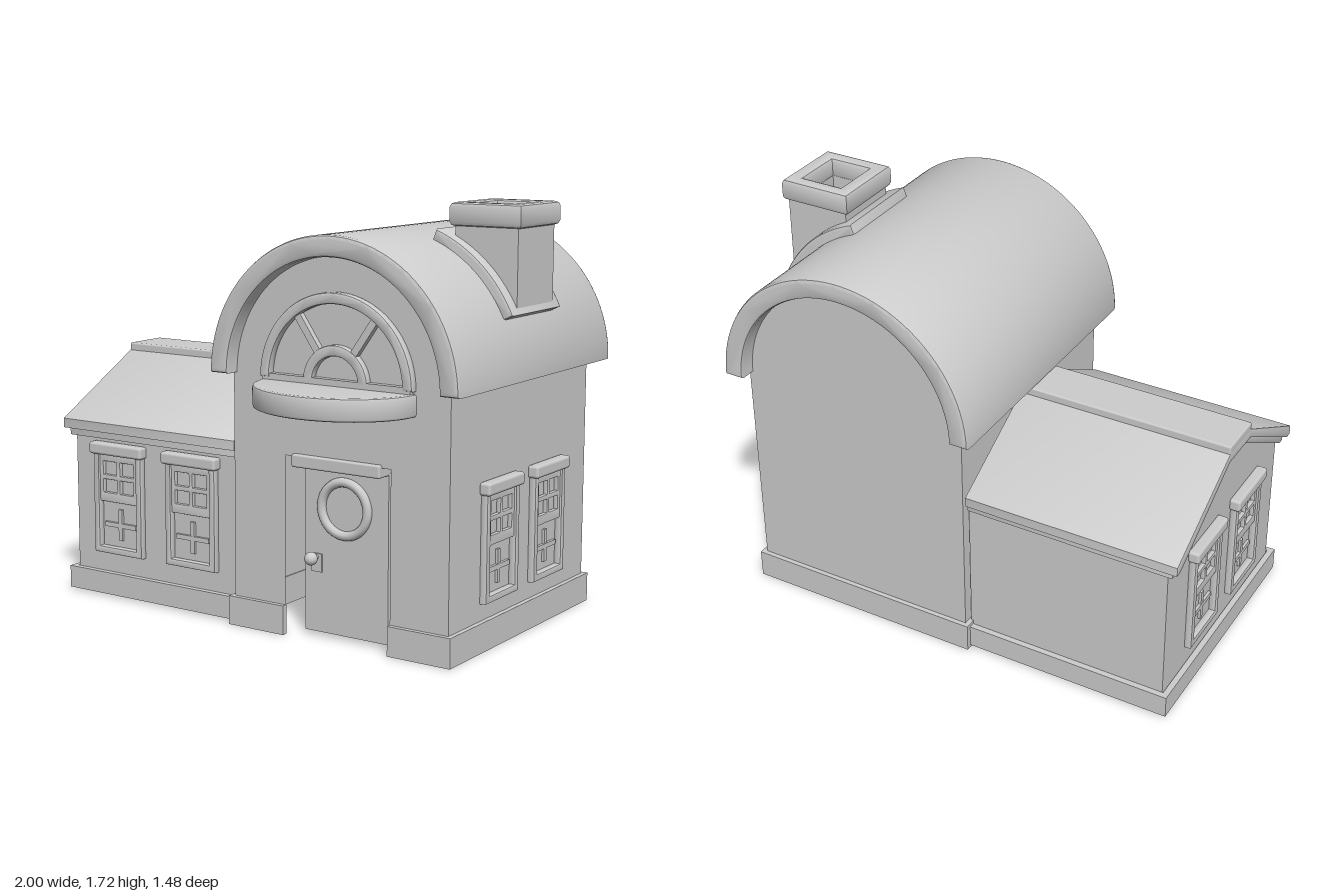
import * as THREE from 'three';
import { toCreasedNormals } from 'three/addons/utils/BufferGeometryUtils.js';
import { RoundedBoxGeometry } from 'three/addons/geometries/RoundedBoxGeometry.js';

const stone = new THREE.MeshStandardMaterial({ name: 'pale grey', color: 0xcccccc });
const stoneThin = new THREE.MeshStandardMaterial({ name: 'pale grey thin', color: 0xcccccc, side: THREE.DoubleSide });
const soot = new THREE.MeshStandardMaterial({ name: 'soot black', color: 0x0c0d0e });

const CX = 0.43, ARCH_Y = 1.04; // centre of the barrel roof

function add(parent, name, geo, mat = stone) {
  const m = new THREE.Mesh(geo, mat);
  m.name = name;
  parent.add(m);
  return m;
}

// Box given by its limits, optionally with rounded edges
function box(parent, name, [x0, x1], [y0, y1], [z0, z1], r = 0) {
  const s = [x1 - x0, y1 - y0, z1 - z0];
  const m = add(parent, name, r ? new RoundedBoxGeometry(...s, 2, r) : new THREE.BoxGeometry(...s));
  m.position.set((x0 + x1) / 2, (y0 + y1) / 2, (z0 + z1) / 2);
  return m;
}

function polygon(points) {
  return new THREE.Shape(points.map(([x, y]) => new THREE.Vector2(x, y)));
}

// Extrusion from z0 to z1 whose bevel stays inside the outline
function extrude(shape, z0, z1, b = 0, curveSegments = 32) {
  const g = new THREE.ExtrudeGeometry(shape, {
    depth: z1 - z0 - 2 * b, curveSegments, bevelEnabled: b > 0,
    bevelSize: b, bevelThickness: b, bevelOffset: -b, bevelSegments: 2,
  });
  g.translate(0, 0, z0 + b);
  return toCreasedNormals(g, 0.6);
}

function arcBand(r0, r1, a0 = 0, a1 = Math.PI) {
  const s = new THREE.Shape();
  s.absarc(0, 0, r1, a0, a1, false);
  s.absarc(0, 0, r0, a1, a0, true);
  s.closePath();
  return s;
}

function rectPath(x0, x1, y0, y1) {
  return polygon([[x0, y0], [x0, y1], [x1, y1], [x1, y0]]);
}

// Sash window facing +z, standing on the plane z = 0
function makeWindow() {
  const g = new THREE.Group();
  g.name = 'sashWindow';
  const frame = polygon([[-0.13, 0.19], [0.13, 0.19], [0.13, 0.64], [-0.13, 0.64]]);
  frame.holes.push(rectPath(-0.1, 0.1, 0.22, 0.62));
  add(g, 'windowFrame', extrude(frame, -0.005, 0.03, 0.008));
  box(g, 'windowHeader', [-0.142, 0.142], [0.62, 0.672], [-0.005, 0.045], 0.012);
  const sash = polygon([[-0.105, 0.415], [0.105, 0.415], [0.105, 0.625], [-0.105, 0.625]]);
  for (const [x0, x1] of [[-0.082, -0.01], [0.01, 0.082]])
    for (const [y0, y1] of [[0.455, 0.512], [0.532, 0.59]]) sash.holes.push(rectPath(x0, x1, y0, y1));
  add(g, 'upperSash', extrude(sash, 0, 0.02, 0.004));
  box(g, 'lowerGlazingBar', [-0.085, 0.085], [0.305, 0.325], [0, 0.012]);
  box(g, 'lowerGlazingPost', [-0.01, 0.01], [0.25, 0.385], [0, 0.011]);
  return g;
}

function placeWindow(parent, x, z, turn) {
  const w = makeWindow();
  w.position.set(x, 0, z);
  w.rotation.y = turn;
  parent.add(w);
}

function mainHouse() {
  const g = new THREE.Group();
  g.name = 'mainHouse';
  // Hollow thin walls with an arched gable and a doorway in the front
  for (const front of [true, false]) {
    const s = new THREE.Shape();
    s.moveTo(-0.07, 0);
    if (front) s.lineTo(0.18, 0).lineTo(0.18, 0.73).lineTo(0.67, 0.73).lineTo(0.67, 0);
    s.lineTo(0.93, 0).lineTo(0.93, ARCH_Y);
    s.absarc(CX, ARCH_Y, 0.5, 0, Math.PI, false);
    s.lineTo(-0.07, 0);
    const wall = add(g, front ? 'frontWall' : 'backWall', new THREE.ShapeGeometry(s, 32), stoneThin);
    wall.position.z = front ? 0.44 : -0.67;
    if (!front) { // turned outward about the arch axis
      wall.rotation.y = Math.PI;
      wall.position.x = 2 * CX;
    }
  }
  for (const side of [-1, 1]) {
    const wall = add(g, 'sideWall', new THREE.PlaneGeometry(1.11, ARCH_Y + 0.02), stoneThin);
    wall.position.set(CX + side * 0.5, (ARCH_Y + 0.02) / 2, -0.115);
    wall.rotation.y = side * Math.PI / 2;
  }
  // Plinth, interrupted by the doorway
  box(g, 'plinthFrontLeft', [0.67, 0.95], [0, 0.12], [0.435, 0.46]);
  box(g, 'plinthFrontRight', [-0.09, 0.18], [0, 0.12], [0.435, 0.46]);
  box(g, 'plinthBack', [-0.09, 0.95], [0, 0.12], [-0.69, -0.665]);
  box(g, 'plinthSide', [0.925, 0.95], [0, 0.12], [-0.69, 0.46]);
  box(g, 'plinthSide', [-0.09, -0.065], [0, 0.12], [-0.69, 0.46]);
  // Barrel roof
  const roof = add(g, 'barrelRoof', extrude(arcBand(0.485, 0.57), -0.745, 0.51, 0.016, 40));
  roof.position.set(CX, ARCH_Y, 0);
  for (const z of [0.075, -0.315]) placeWindow(g, 0.93, z, Math.PI / 2);
  return g;
}

function door() {
  const g = new THREE.Group();
  g.name = 'door';
  box(g, 'doorLeaf', [0.24, 0.63], [0.02, 0.7], [0.355, 0.39]);
  box(g, 'doorLintel', [0.22, 0.63], [0.69, 0.742], [0.37, 0.46], 0.008);
  add(g, 'portholeRing', new THREE.TorusGeometry(0.107, 0.019, 10, 40)).position.set(CX, 0.535, 0.395);
  box(g, 'lockPlate', [0.27, 0.322], [0.265, 0.34], [0.388, 0.395]);
  const stem = add(g, 'knobStem', new THREE.CylinderGeometry(0.012, 0.012, 0.03, 12));
  stem.rotation.x = Math.PI / 2;
  stem.position.set(0.295, 0.325, 0.405);
  const knob = add(g, 'doorKnob', new THREE.SphereGeometry(0.027, 16, 12));
  knob.position.set(0.295, 0.325, 0.43);
  return g;
}

function fanlight() {
  const g = new THREE.Group();
  g.name = 'fanlight';
  g.position.set(CX, ARCH_Y, 0.44);
  add(g, 'outerArch', extrude(arcBand(0.305, 0.35), -0.005, 0.035, 0.01));
  add(g, 'innerArch', extrude(arcBand(0.105, 0.148), -0.005, 0.03, 0.008));
  box(g, 'fanlightSill', [-0.34, 0.34], [-0.01, 0.015], [0, 0.03]);
  for (const a of [55, 125]) {
    const t = THREE.MathUtils.degToRad(a);
    const spoke = add(g, 'spoke', new THREE.BoxGeometry(0.19, 0.03, 0.025));
    spoke.position.set(Math.cos(t) * 0.225, Math.sin(t) * 0.225, 0.0125);
    spoke.rotation.z = t;
  }
  return g;
}

function awning() {
  const s = new THREE.Shape();
  s.absellipse(0, 0, 0.35, 0.295, 0, Math.PI, false, 0);
  s.closePath();
  const geo = extrude(s, 0, 0.09, 0.012);
  geo.rotateX(Math.PI / 2); // shape lies flat, bulging towards +z
  const m = new THREE.Mesh(geo, stone);
  m.name = 'awning';
  m.position.set(CX, 1.03, 0.437);
  return m;
}

function chimney() {
  const g = new THREE.Group();
  g.name = 'chimney';
  // Square tubes drawn in plan and stood upright
  const tube = (name, hx, hz, y0, y1, b) => {
    const s = polygon([[-hx, -hz], [hx, -hz], [hx, hz], [-hx, hz]]);
    s.holes.push(rectPath(-0.09, 0.09, -0.1, 0.1));
    const geo = extrude(s, y0, y1, b);
    geo.rotateX(-Math.PI / 2);
    add(g, name, geo).position.set(0.835, 0, -0.12);
  };
  tube('chimneyShaft', 0.138, 0.147, 1.3, 1.64, 0);
  tube('chimneyCap', 0.156, 0.162, 1.625, 1.718, 0.018);
  box(g, 'flueBottom', [0.745, 0.925], [1.55, 1.558], [-0.22, -0.02]).material = soot;
  const rad = THREE.MathUtils.degToRad;
  const flashing = add(g, 'chimneyFlashing', extrude(arcBand(0.54, 0.612, rad(25), rad(70)), -0.32, 0.08, 0.012));
  flashing.position.set(CX, ARCH_Y, 0);
  return g;
}

function sideWing() {
  const g = new THREE.Group();
  g.name = 'sideWing';
  const zc = -0.12, inner = -0.08;
  // Hollow walls, open underneath
  for (const side of [-1, 1]) {
    const wall = add(g, 'longWall', new THREE.PlaneGeometry(0.87, 0.74), stoneThin);
    wall.position.set(-0.515, 0.38, zc + side * 0.52);
    if (side < 0) wall.rotation.y = Math.PI;
    const z = zc + side * 0.535;
    box(g, 'wingPlinth', [-0.98, inner], [0.01, 0.105], [z - 0.0125, z + 0.0125]);
  }
  const gable = polygon([[-0.52, 0.01], [0.52, 0.01], [0.52, 0.74], [0.1, 0.98], [-0.1, 0.98], [-0.52, 0.74]]);
  const end = add(g, 'gableWall', new THREE.ShapeGeometry(gable), stoneThin);
  end.rotation.y = -Math.PI / 2;
  end.position.set(-0.95, 0, zc);
  box(g, 'wingPlinth', [-0.98, -0.955], [0.01, 0.105], [zc - 0.5475, zc + 0.5475]);
  // Roof slab with a thinner moulding below it and a flat ridge cap
  const slab = (name, half, eave, top, thick, x0) => {
    const s = polygon([
      [-half, eave], [-half, eave - thick], [-half + 0.03, eave - thick], [-0.1, top - thick],
      [0.1, top - thick], [half - 0.03, eave - thick], [half, eave - thick], [half, eave], [0.1, top], [-0.1, top],
    ].reverse());
    const geo = extrude(s, x0, inner, 0.004);
    geo.rotateY(Math.PI / 2);
    add(g, name, geo).position.z = zc;
  };
  slab('wingRoof', 0.55, 0.755, 1.0, 0.04, -1);
  slab('eaveMoulding', 0.535, 0.725, 0.965, 0.04, -0.975);
  box(g, 'ridgeCap', [-1, inner], [0.985, 1.032], [-0.222, -0.018], 0.008);
  for (const x of [-0.705, -0.315]) placeWindow(g, x, 0.4, 0);
  for (const z of [0.075, -0.315]) placeWindow(g, -0.95, z, -Math.PI / 2);
  return g;
}

export function createModel() {
  const model = new THREE.Group();
  model.name = 'house';
  model.add(mainHouse(), door(), fanlight(), awning(), chimney(), sideWing());
  return model;
}
